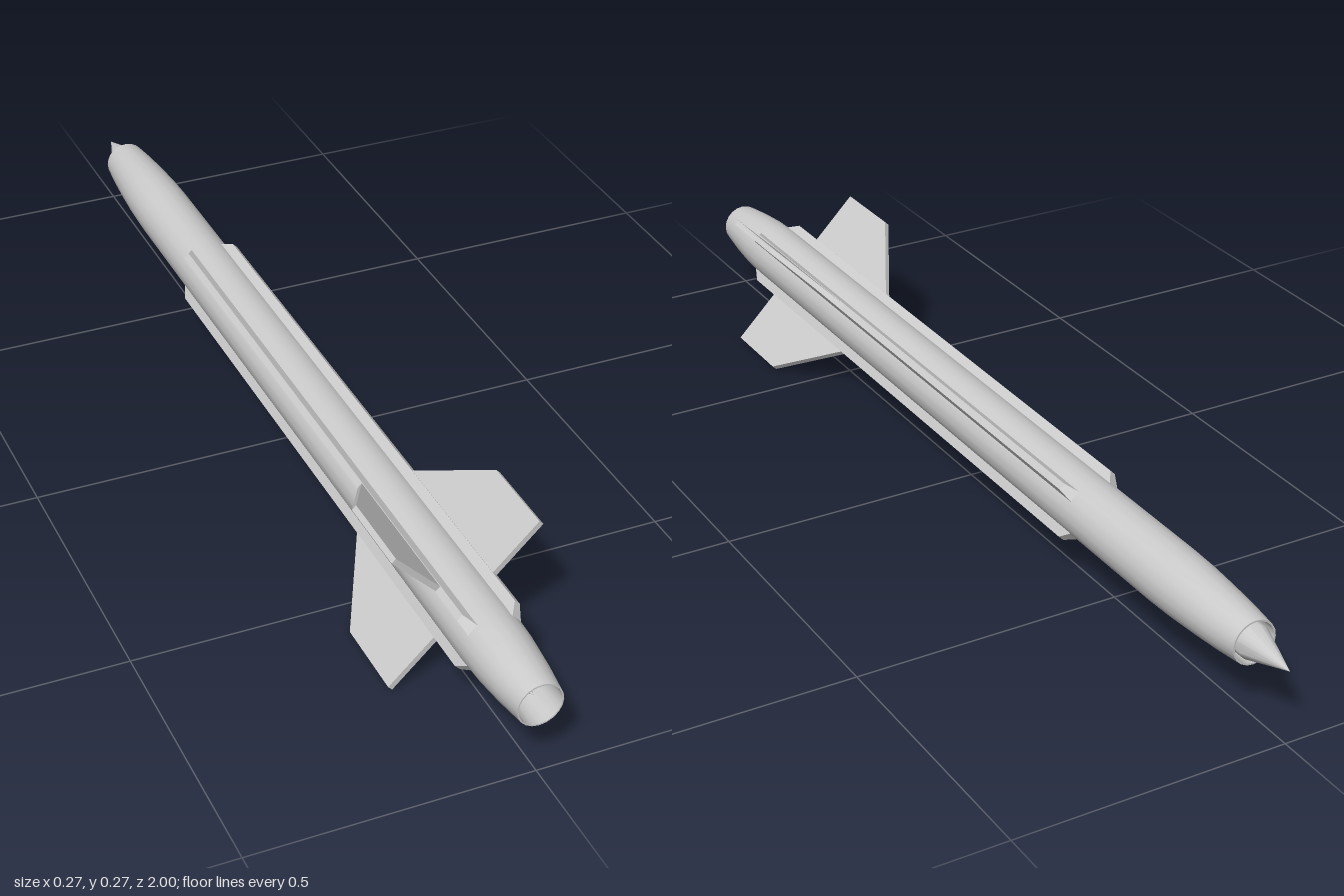
import * as THREE from 'three';
import { toCreasedNormals } from 'three/addons/utils/BufferGeometryUtils.js';
import { ConvexGeometry } from 'three/addons/geometries/ConvexGeometry.js';

const SIDES = 20;
const AXIS_HEIGHT = 0.1355;

// Solid of revolution about z from [radius, z] pairs, run from low z to high z on the outside
function turned(name, profile, material) {
  const points = profile.map(([r, z]) => new THREE.Vector2(r, z));
  const geometry = new THREE.LatheGeometry(points, SIDES).rotateX(Math.PI / 2);
  const mesh = new THREE.Mesh(toCreasedNormals(geometry, 0.6), material);
  mesh.name = name;
  return mesh;
}

// Raised rail along the body: trapezoid section with sloping ends
function railGeometry() {
  const points = [];
  for (const [r, half, front, back] of [[0.05, 0.0125, -0.435, 0.845], [0.0725, 0.0065, -0.405, 0.815]]) {
    for (const side of [-1, 1]) {
      points.push(new THREE.Vector3(r, side * half, front), new THREE.Vector3(r, side * half, back));
    }
  }
  return new ConvexGeometry(points);
}

// Swept fin: outline in radius and z, given a thin plate thickness
function finGeometry() {
  const outline = new THREE.Shape([[0.05, 0.397], [0.186, 0.58], [0.186, 0.735], [0.05, 0.735]]
    .map(([r, z]) => new THREE.Vector2(r, z)));
  return new THREE.ExtrudeGeometry(outline, { depth: 0.0105, bevelEnabled: false })
    .translate(0, 0, -0.00525).rotateX(Math.PI / 2);
}

export function createModel() {
  const model = new THREE.Group();
  model.name = 'missile';
  const material = new THREE.MeshStandardMaterial({ color: 0xcccccc, side: THREE.DoubleSide });
  const body = new THREE.Group();
  body.name = 'airframe';
  body.position.y = AXIS_HEIGHT;
  model.add(body);

  // Hollow-ended hull: intake duct, outer skin, nozzle duct
  body.add(turned('hull', [
    [0, -0.82], [0.036, -0.82], [0.038, -0.905], [0.041, -0.905],
    [0.047, -0.85], [0.0515, -0.79], [0.055, -0.73], [0.0565, -0.67],
    [0.0565, 0.82], [0.0545, 0.88], [0.049, 0.94], [0.041, 1],
    [0.0385, 1], [0.036, 0.9], [0, 0.9],
  ], material));

  // Intake spike at the nose and exhaust cone inside the nozzle
  body.add(turned('intakeSpike', [[0, -1], [0.031, -0.905], [0.031, -0.82]], material));
  body.add(turned('exhaustCone', [[0.03, 0.9], [0, 0.975]], material));

  // Four diagonal rails, each carrying a fin
  const rail = railGeometry();
  const fin = finGeometry();
  for (let i = 0; i < 4; i++) {
    const quarter = new THREE.Group();
    quarter.name = 'finAssembly' + (i + 1);
    quarter.rotation.z = Math.PI / 4 + i * Math.PI / 2;
    const railMesh = new THREE.Mesh(rail, material);
    railMesh.name = 'rail';
    const finMesh = new THREE.Mesh(fin, material);
    finMesh.name = 'fin';
    quarter.add(railMesh, finMesh);
    body.add(quarter);
  }
  return model;
}
